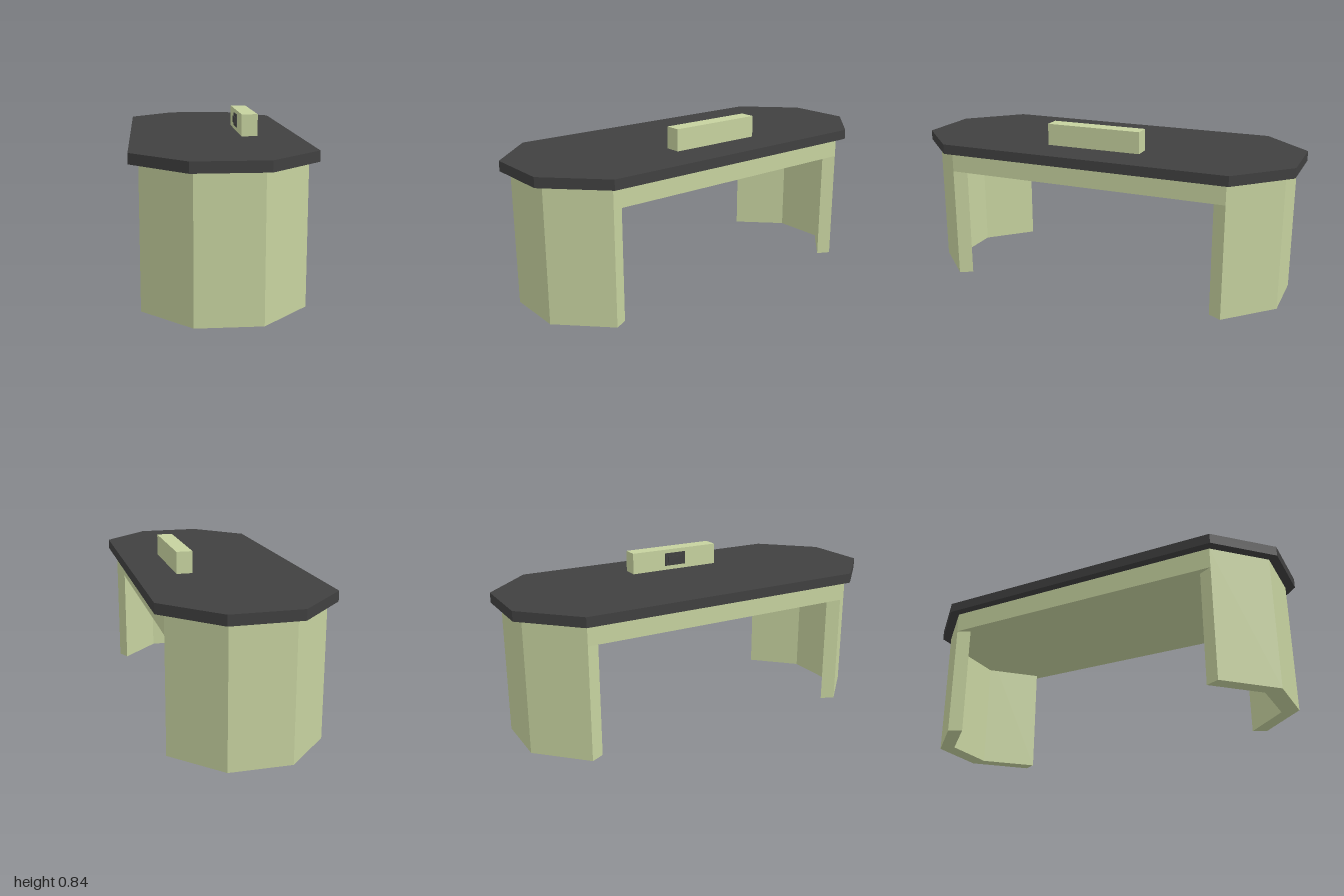
import * as THREE from 'three';

const green = new THREE.MeshStandardMaterial({ color: 0xc6d29f });
green.name = 'pale green';
const dark = new THREE.MeshStandardMaterial({ color: 0x404040 });
dark.name = 'charcoal';

// Upright prism over a plan outline of [x, z] points
function prism(name, outline, y0, y1, material) {
  const shape = new THREE.Shape(outline.map(([x, z]) => new THREE.Vector2(x, -z)));
  const geometry = new THREE.ExtrudeGeometry(shape, { depth: y1 - y0, bevelEnabled: false });
  geometry.rotateX(-Math.PI / 2).translate(0, y0, 0);
  const mesh = new THREE.Mesh(geometry, material);
  mesh.name = name;
  return mesh;
}

function box(name, x0, x1, y0, y1, halfZ, material) {
  const mesh = new THREE.Mesh(new THREE.BoxGeometry(x1 - x0, y1 - y0, halfZ * 2), material);
  mesh.position.set((x0 + x1) / 2, (y0 + y1) / 2, 0);
  mesh.name = name;
  return mesh;
}

// Three-sided end of an octagon, running from +x to -x at the +z end
const endCurve = (sideX, sideZ, endX, endZ) =>
  [[sideX, sideZ], [endX, endZ], [-endX, endZ], [-sideX, sideZ]];
const turn = (points) => points.map(([x, z]) => [-x, -z]);

export function createModel() {
  const group = new THREE.Group();
  const legTop = 0.676, topY = 0.726;

  // Octagonal table top
  const rim = endCurve(0.421, 0.75, 0.17, 1);
  group.add(prism('tableTop', [...rim, ...turn(rim)], legTop, topY, dark));

  // Folded panel legs, the inner face being a scaled copy of the outer one
  const outer = endCurve(0.376, 0.73, 0.152, 0.955);
  const inner = outer.map(([x, z]) => [x * 0.912, z * 0.912]);
  const leg = [...outer, ...[...inner].reverse()];
  group.add(prism('frontLeg', leg, 0, legTop, green));
  group.add(prism('backLeg', turn(leg), 0, legTop, green));

  // Solid apron filling the space between the legs
  const fill = [outer[0], ...inner, outer[3]];
  group.add(prism('apron', [...fill, ...turn(fill)], 0.573, legTop, green));

  // Block on the table with a small stepped panel on its inner side
  group.add(box('console', 0.135, 0.216, topY, 0.836, 0.248, green));
  group.add(box('consolePanel', 0.129, 0.135, 0.749, 0.816, 0.06, dark));
  group.add(box('consoleButton', 0.124, 0.129, 0.766, 0.8, 0.045, dark));

  return group;
}
